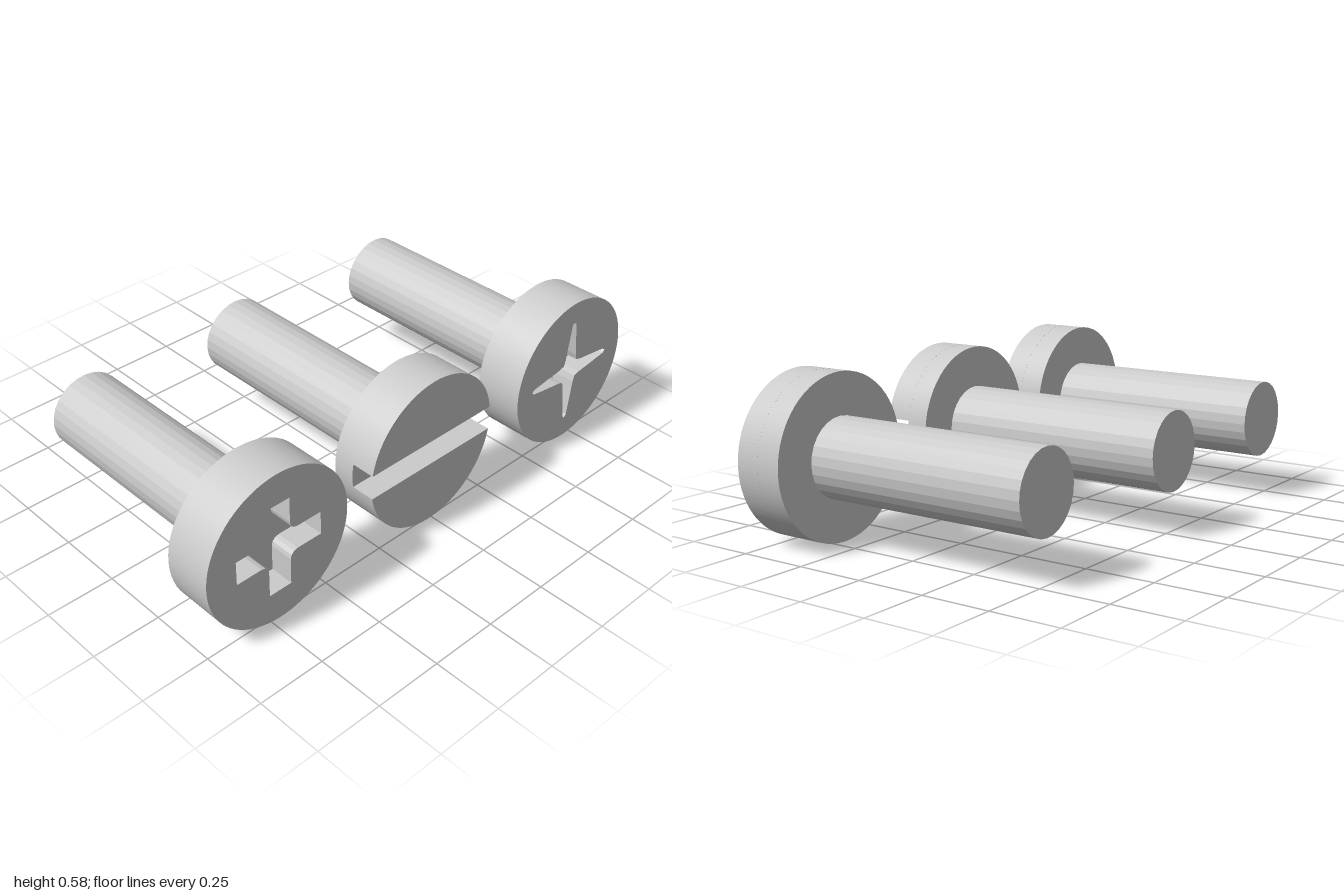
import * as THREE from 'three';

const HEAD_R = 0.29, SHAFT_R = 0.142, HEAD_BACK = 0.335, AXIS_Y = 0.293, DEPTH = 0.09;
const material = new THREE.MeshStandardMaterial({ color: 0xcccccc });
const flatMaterial = new THREE.MeshStandardMaterial({ color: 0xcccccc, flatShading: true });

function addMesh(group, name, geometry, mat = material) {
  const mesh = new THREE.Mesh(geometry, mat);
  mesh.name = name;
  group.add(mesh);
}

// Cylinder lying along x between two positions
function rod(radius, x0, x1, sides) {
  return new THREE.CylinderGeometry(radius, radius, x1 - x0, sides)
    .rotateZ(-Math.PI / 2).translate((x0 + x1) / 2, 0, 0);
}

// Shape pushed along x between two positions
function slab(shape, x0, x1) {
  return new THREE.ExtrudeGeometry(shape, { depth: x1 - x0, bevelEnabled: false, curveSegments: 64 })
    .rotateY(Math.PI / 2).translate(x0, 0, 0);
}

// Closed outline from one arm, repeated four times around the axis
function fourfold(arm) {
  const points = [];
  for (let k = 0; k < 4; k++) {
    for (const [x, y] of arm) {
      points.push(new THREE.Vector2(x, y).rotateAround(new THREE.Vector2(), k * Math.PI / 2));
    }
  }
  return new THREE.Path(points);
}

function discWithHole(hole) {
  const disc = new THREE.Shape().absarc(0, 0, HEAD_R, 0, Math.PI * 2, false);
  disc.holes.push(hole);
  return disc;
}

// Half of a disc on one side of the slot
function slotHalf(sign) {
  const a = Math.asin(0.047 / HEAD_R);
  const start = sign > 0 ? a : Math.PI + a;
  return new THREE.Shape().absarc(0, 0, HEAD_R, start, start + Math.PI - 2 * a, false);
}

function screw(name, z, tip, face, shapes) {
  const group = new THREE.Group();
  group.name = name;
  group.position.set(0, AXIS_Y + 0.002, z);
  addMesh(group, 'shaft', rod(SHAFT_R, tip, HEAD_BACK, 28), flatMaterial);
  addMesh(group, 'headBase', rod(HEAD_R, HEAD_BACK, face - DEPTH, 64));
  for (const shape of shapes) addMesh(group, 'headFace', slab(shape, face - DEPTH, face));
  return group;
}

export function createModel() {
  const model = new THREE.Group();
  model.name = 'screws';

  // Straight cross recess with filleted inner corners
  const w = 0.045, len = 0.174, f = 0.03;
  const cross = fourfold([
    [len, -w], [len, w], [w + f, w], [w + f * 0.5, w + f * 0.13],
    [w + f * 0.13, w + f * 0.5], [w, w + f],
  ]);

  // Pointed star recess with tapering arms
  const star = fourfold([
    [0.21, 0], [0.2, 0.01], [0.13, 0.02], [0.06, 0.029],
    [0.036, 0.036], [0.029, 0.06], [0.02, 0.13], [0.01, 0.2],
  ]);

  model.add(
    screw('crossScrew', 0.71, -0.5, 0.517, [discWithHole(cross)]),
    screw('slottedScrew', 0.01, -0.52, 0.507, [slotHalf(1), slotHalf(-1)]),
    screw('starScrew', -0.71, -0.5, 0.517, [discWithHole(star)]),
  );
  return model;
}
